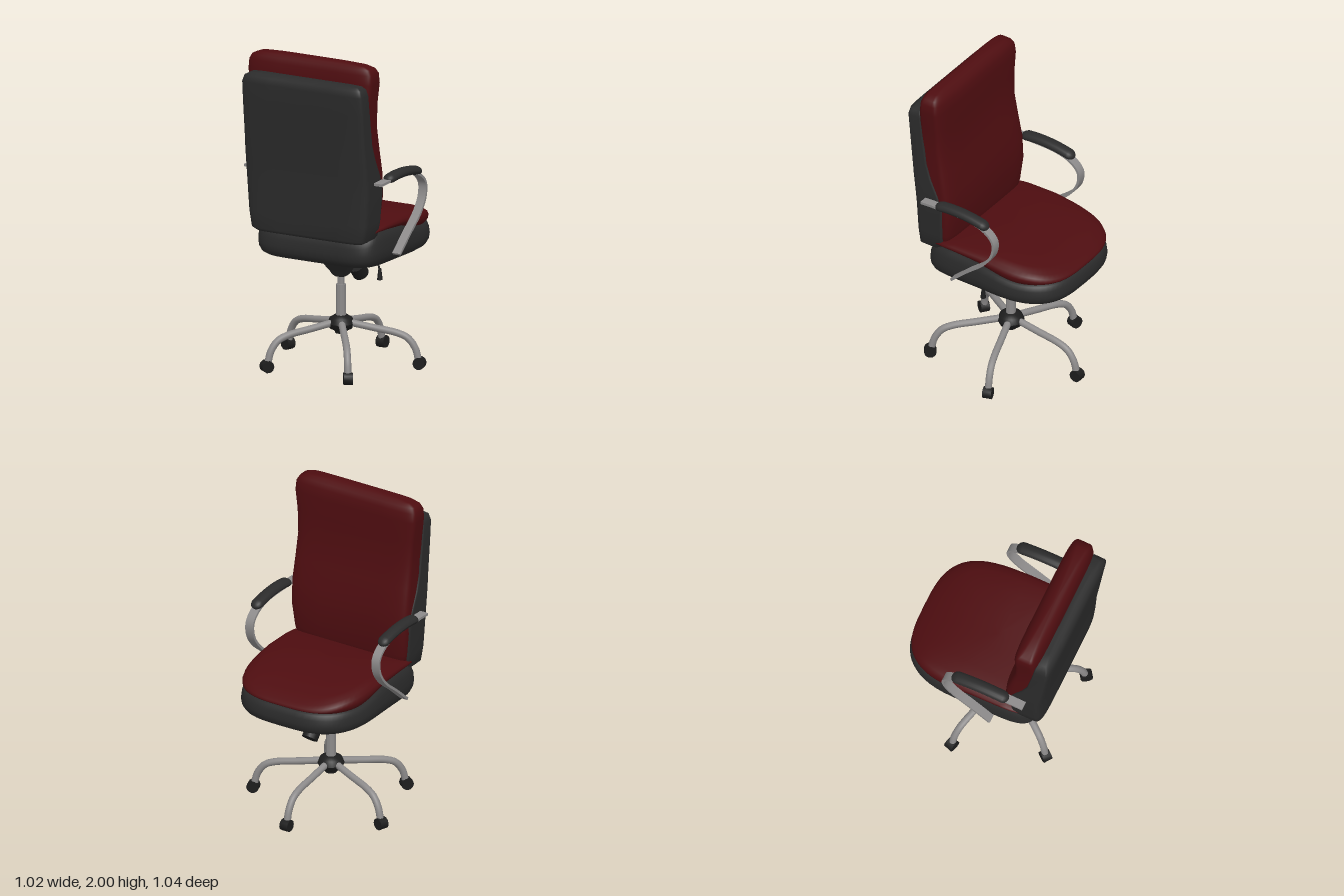
import * as THREE from 'three';
import { toCreasedNormals } from 'three/addons/utils/BufferGeometryUtils.js';

const mat = (name, color) => Object.assign(new THREE.MeshStandardMaterial({ color }), { name });

const lerp = THREE.MathUtils.lerp;
const smooth = THREE.MathUtils.smoothstep;

// Closed outline in the xz plane with separate corner roundness for its -z and +z halves
function outline(w, zFront, zBack, eFront, eBack, zMid = (zFront + zBack) / 2, n = 64) {
  const pts = [];
  for (let i = 0; i < n; i++) {
    const a = (i / n) * Math.PI * 2, c = Math.cos(a), s = Math.sin(a);
    const e = s < 0 ? eFront : eBack;
    const r = s < 0 ? zMid - zFront : zBack - zMid;
    const pow = v => (Math.abs(v) < 1e-9 ? 0 : Math.sign(v) * Math.abs(v) ** e);
    pts.push([w * pow(c), zMid + r * pow(s)]);
  }
  return pts;
}

// Skin a stack of rings (bottom to top) and close both ends
function loft(rings) {
  const n = rings[0].length, pos = rings.flat(2), idx = [];
  for (let k = 0; k < rings.length - 1; k++) for (let j = 0; j < n; j++) {
    const a = k * n + j, b = k * n + (j + 1) % n;
    idx.push(a, a + n, b, b, a + n, b + n);
  }
  for (const k of [0, rings.length - 1]) {
    const centre = [0, 1, 2].map(i => rings[k].reduce((t, p) => t + p[i], 0) / n);
    const m = pos.length / 3;
    pos.push(...centre);
    for (let j = 0; j < n; j++) {
      const a = k * n + j, b = k * n + (j + 1) % n;
      idx.push(m, ...(k ? [b, a] : [a, b]));
    }
  }
  const g = new THREE.BufferGeometry();
  g.setAttribute('position', new THREE.Float32BufferAttribute(pos, 3));
  g.setIndex(idx);
  g.computeVertexNormals();
  return g;
}

// Rows of [y, half width, z front, z back]
const loftRows = (rows, eFront, eBack) => loft(rows.map(([y, w, zf, zb]) =>
  outline(w, zf, zb, eFront, eBack).map(([x, z]) => [x, y, z])));

export function createModel() {
  const red = mat('red upholstery', 0x4e0d10);
  const grey = mat('charcoal upholstery', 0x2b2b2b);
  const metal = mat('satin metal', 0x8c8a8a);
  const black = mat('black plastic', 0x1d1d1d);

  const chair = new THREE.Group();
  chair.name = 'officeChair';
  const add = (name, geo, material, parent = chair) => {
    const m = new THREE.Mesh(geo, material);
    m.name = name;
    parent.add(m);
    return m;
  };

  // Seat: the seam between pan and cushion climbs towards the backrest
  const seam = z => lerp(0.86, 0.93, smooth(z, -0.3, 0.12)) - 0.05 * smooth(z, 0.28, 0.41);
  const crown = z => 0.99 - 0.28 * z * z - 0.02 * smooth(-z, 0.35, 0.52);
  const seatRing = (s, yAt) => outline(0.43 * s, -0.52 * s, 0.41 * s, 0.62, 0.33, 0)
    .map(([x, z]) => [x, yAt(z), z]);
  const pan = [[0.4, 0], [0.8, 0.02], [0.9, 0.07], [0.96, 0.17], [0.99, 0.32], [1, 0.5],
    [0.99, 0.75], [0.965, 0.93], [0.92, 1]];
  add('seatPan', loft(pan.map(([s, f]) => seatRing(s, z => lerp(0.7, seam(z), f)))), grey);
  const pad = [[0.88, -0.1], [0.95, 0.02], [0.98, 0.2], [0.985, 0.4], [0.97, 0.62],
    [0.92, 0.8], [0.82, 0.91], [0.6, 0.98], [0.3, 1], [0.05, 1]];
  add('seatCushion', loft(pad.map(([s, f]) => seatRing(s, z => lerp(seam(z), crown(z), f)))), red);

  // Backrest: rear shell and front cushion
  add('backShell', loftRows([
    [0.875, 0.3, 0.32, 0.41], [0.88, 0.37, 0.285, 0.44], [0.9, 0.4, 0.27, 0.457],
    [1, 0.417, 0.26, 0.461], [1.2, 0.43, 0.25, 0.467], [1.3, 0.43, 0.285, 0.475],
    [1.4, 0.428, 0.335, 0.483], [1.5, 0.425, 0.37, 0.491], [1.7, 0.425, 0.4, 0.508],
    [1.82, 0.423, 0.415, 0.52], [1.86, 0.41, 0.42, 0.512], [1.877, 0.38, 0.425, 0.49],
    [1.882, 0.3, 0.43, 0.47]], 0.1, 0.3), grey);
  add('backCushion', loftRows([
    [0.9, 0.34, 0.26, 0.35], [0.93, 0.39, 0.23, 0.4], [1, 0.405, 0.215, 0.42],
    [1.15, 0.42, 0.2, 0.42], [1.3, 0.422, 0.21, 0.42], [1.45, 0.417, 0.24, 0.43],
    [1.6, 0.413, 0.267, 0.44], [1.75, 0.42, 0.272, 0.44], [1.88, 0.436, 0.272, 0.438],
    [1.94, 0.432, 0.28, 0.432], [1.97, 0.415, 0.297, 0.42], [1.988, 0.37, 0.32, 0.405],
    [1.997, 0.26, 0.34, 0.388], [2, 0.1, 0.355, 0.375]], 0.33, 0.33), red);

  // Armrests: flat bent strap with a padded top
  const strapPath = new THREE.CatmullRomCurve3([[0.37, 1.255], [0.2, 1.26], [0, 1.25],
    [-0.1, 1.215], [-0.155, 1.155], [-0.15, 1.07], [-0.09, 0.98], [0.03, 0.88], [0.15, 0.775]]
    .map(([z, y]) => new THREE.Vector3(z, y, 0)));
  const side = sign => strapPath.getPoints(48).map((p, i) => {
    const t = strapPath.getTangent(i / 48);
    return new THREE.Vector2(p.x - t.y * 0.008 * sign, p.y + t.x * 0.008 * sign);
  });
  const strapGeo = toCreasedNormals(new THREE.ExtrudeGeometry(
    new THREE.Shape([...side(1), ...side(-1).reverse()]),
    { depth: 0.055, bevelEnabled: false }).rotateY(-Math.PI / 2), 0.6);
  const armPadGeo = new THREE.CapsuleGeometry(0.04, 0.3, 6, 16, 10).rotateX(Math.PI / 2).scale(1, 0.72, 1);
  const p = armPadGeo.attributes.position;
  for (let i = 0; i < p.count; i++) {
    const z = p.getZ(i) + 0.08;
    p.setXYZ(i, p.getX(i), p.getY(i) + 1.275 - 0.6 * (z - 0.13) ** 2, z);
  }
  armPadGeo.computeVertexNormals();
  for (const s of [1, -1]) {
    const arm = new THREE.Group();
    arm.name = s > 0 ? 'leftArmrest' : 'rightArmrest';
    chair.add(arm);
    add('armStrap', strapGeo, metal, arm).position.x = s * 0.4575 + 0.0275;
    add('armPad', armPadGeo, grey, arm).position.x = s * 0.46;
  }

  // Tilt mechanism, gas column and hub
  add('tiltHousing', loftRows([
    [0.555, 0.03, 0.01, 0.07], [0.565, 0.045, 0, 0.08], [0.6, 0.065, -0.02, 0.1],
    [0.65, 0.095, -0.065, 0.145], [0.68, 0.13, -0.1, 0.18], [0.7, 0.19, -0.13, 0.22],
    [0.72, 0.2, -0.14, 0.24]], 0.4, 0.4), grey);
  const turned = (name, pts, material) => {
    const g = new THREE.LatheGeometry(pts.map(q => new THREE.Vector2(...q)), 28);
    add(name, toCreasedNormals(g, 0.7), material).position.z = 0.04;
  };
  turned('gasColumn', [[0.03, 0.25], [0.03, 0.505], [0.022, 0.505], [0.022, 0.58]], metal);
  turned('hub', [[0, 0.2], [0.035, 0.2], [0.04, 0.215], [0.068, 0.23], [0.082, 0.262],
    [0.068, 0.295], [0.04, 0.312], [0, 0.312]], black);

  // Height lever
  const v = (x, y, z = 0) => new THREE.Vector3(x, y, z);
  add('leverRod', new THREE.TubeGeometry(new THREE.CatmullRomCurve3(
    [v(0.05, 0.675, 0.05), v(0.23, 0.675, 0.05), v(0.265, 0.667, 0.05), v(0.278, 0.63, 0.05)]),
    20, 0.006, 8), black);
  add('leverHandle', new THREE.CylinderGeometry(0.009, 0.017, 0.07, 12), black).position.set(0.28, 0.605, 0.05);

  // Tension knob with its ribbed spring
  const knob = new THREE.Group();
  knob.name = 'tensionKnob';
  knob.position.set(0, 0.68, -0.05);
  knob.rotation.x = Math.PI * 0.23;
  chair.add(knob);
  add('springCore', new THREE.CylinderGeometry(0.022, 0.022, 0.14, 12), black, knob).position.y = -0.06;
  for (let i = 0; i < 6; i++)
    add('springCoil', new THREE.TorusGeometry(0.034, 0.006, 6, 20).rotateX(Math.PI / 2), black, knob)
      .position.y = -0.01 - i * 0.019;
  add('knobGrip', new THREE.CylinderGeometry(0.05, 0.05, 0.085, 16), black, knob).position.y = -0.175;

  // Five-legged base with casters, one leg pointing to -z
  const legGeo = new THREE.TubeGeometry(new THREE.CatmullRomCurve3(
    [v(0, 0.268, -0.05), v(0, 0.243, -0.2), v(0, 0.218, -0.35), v(0, 0.19, -0.415),
      v(0, 0.13, -0.46), v(0, 0.05, -0.482)]), 28, 0.022, 12);
  const casterGeo = toCreasedNormals(new THREE.CylinderGeometry(0.038, 0.038, 0.056, 10)
    .rotateZ(Math.PI / 2), 0.7);
  for (let i = 0; i < 5; i++) {
    const leg = new THREE.Group();
    leg.name = 'baseLeg';
    leg.position.z = 0.04;
    leg.rotation.y = i * Math.PI * 0.4;
    chair.add(leg);
    add('legTube', legGeo, metal, leg);
    add('caster', casterGeo, black, leg).position.set(0, 0.038, -0.487);
  }
  return chair;
}
